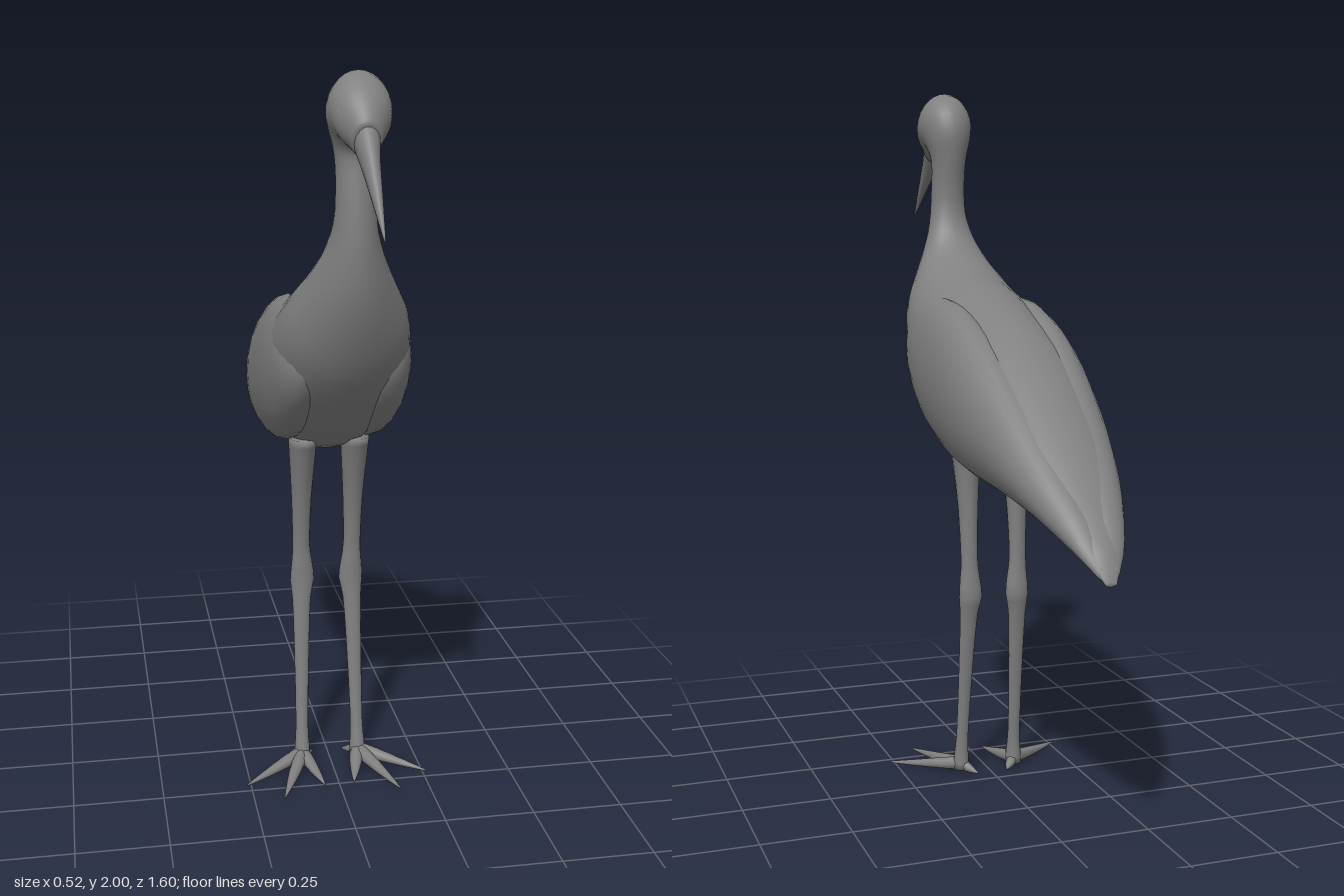
import * as THREE from 'three';

const material = new THREE.MeshStandardMaterial({ color: 0x808080, side: THREE.DoubleSide });

// Lofts elliptical rings through rows of [zTop, yTop, zBottom, yBottom, halfWidth, xCentre].
function loft(rows, sides, steps) {
  const top = new THREE.CatmullRomCurve3(rows.map((r) => new THREE.Vector3(r[4], r[1], r[0])), false, 'catmullrom');
  const bottom = new THREE.CatmullRomCurve3(rows.map((r) => new THREE.Vector3(r[5] || 0, r[3], r[2])), false, 'catmullrom');
  const count = (rows.length - 1) * steps;
  const positions = [];
  const index = [];
  const ends = [];
  for (let i = 0; i <= count; i++) {
    const a = top.getPoint(i / count);
    const b = bottom.getPoint(i / count);
    const y = (a.y + b.y) / 2;
    const z = (a.z + b.z) / 2;
    for (let j = 0; j < sides; j++) {
      const t = (j / sides) * Math.PI * 2;
      const s = Math.sin(t) / 2;
      positions.push(b.x + a.x * Math.cos(t), y + (a.y - b.y) * s, z + (a.z - b.z) * s);
    }
    if (i === 0 || i === count) ends.push([b.x, y, z]);
  }
  for (let i = 0; i < count; i++) {
    for (let j = 0; j < sides; j++) {
      const a = i * sides + j;
      const b = i * sides + ((j + 1) % sides);
      index.push(a, b, a + sides, b, b + sides, a + sides);
    }
  }
  // Close both ends with a fan
  const first = (count + 1) * sides;
  positions.push(...ends[0], ...ends[1]);
  for (let j = 0; j < sides; j++) {
    const k = (j + 1) % sides;
    index.push(first, k, j, first + 1, count * sides + j, count * sides + k);
  }
  const geometry = new THREE.BufferGeometry();
  geometry.setAttribute('position', new THREE.Float32BufferAttribute(positions, 3));
  geometry.setIndex(index);
  geometry.computeVertexNormals();
  return geometry;
}

function addMesh(parent, name, geometry) {
  const mesh = new THREE.Mesh(geometry, material);
  mesh.name = name;
  parent.add(mesh);
  return mesh;
}

// Tail, trunk, neck and head in one skin
const BODY = [
  [-0.80, 0.768, -0.80, 0.755, 0.015],
  [-0.765, 0.83, -0.77, 0.775, 0.036],
  [-0.68, 0.92, -0.70, 0.812, 0.072],
  [-0.55, 1.045, -0.58, 0.855, 0.12],
  [-0.40, 1.17, -0.42, 0.88, 0.155],
  [-0.20, 1.31, -0.22, 0.90, 0.182],
  [0, 1.40, 0, 0.93, 0.196],
  [0.12, 1.44, 0.14, 0.985, 0.197],
  [0.22, 1.468, 0.27, 1.085, 0.188],
  [0.30, 1.505, 0.38, 1.20, 0.165],
  [0.355, 1.55, 0.445, 1.31, 0.125],
  [0.388, 1.605, 0.49, 1.43, 0.085],
  [0.40, 1.67, 0.507, 1.56, 0.057],
  [0.395, 1.74, 0.503, 1.69, 0.05],
  [0.383, 1.81, 0.495, 1.785, 0.052],
  [0.375, 1.89, 0.505, 1.815, 0.066],
  [0.403, 1.96, 0.52, 1.825, 0.077],
  [0.475, 2.00, 0.53, 1.82, 0.077],
  [0.545, 1.967, 0.54, 1.815, 0.068],
  [0.59, 1.915, 0.555, 1.807, 0.048],
  [0.607, 1.88, 0.575, 1.797, 0.034],
];

const BEAK = [
  [0.575, 1.905, 0.55, 1.812, 0.034],
  [0.608, 1.875, 0.58, 1.792, 0.031],
  [0.655, 1.82, 0.625, 1.757, 0.022],
  [0.73, 1.727, 0.71, 1.70, 0.012],
  [0.80, 1.642, 0.796, 1.637, 0.002],
];

// Folded wing, blending into the back and ending in a rounded shoulder
const WING = [
  [-0.785, 0.795, -0.785, 0.77, 0.010, 0.018],
  [-0.70, 0.90, -0.73, 0.81, 0.036, 0.036],
  [-0.55, 1.03, -0.57, 0.872, 0.064, 0.066],
  [-0.35, 1.185, -0.38, 0.91, 0.085, 0.09],
  [-0.15, 1.315, -0.18, 0.93, 0.096, 0.106],
  [0.02, 1.382, 0, 0.96, 0.096, 0.111],
  [0.15, 1.40, 0.17, 1.025, 0.09, 0.114],
  [0.25, 1.40, 0.29, 1.12, 0.074, 0.114],
  [0.31, 1.37, 0.345, 1.20, 0.05, 0.111],
  [0.345, 1.32, 0.36, 1.26, 0.015, 0.105],
];

// Thigh, knee, shin and ankle, from the hip downwards (front and back edges)
const LEG = [
  [0.14, 0.99, -0.01, 0.975, 0.04, 0.074],
  [0.115, 0.93, 0.005, 0.93, 0.037, 0.074],
  [0.075, 0.80, 0.014, 0.80, 0.029, 0.074],
  [0.055, 0.66, 0.014, 0.66, 0.025, 0.074],
  [0.055, 0.60, 0.012, 0.60, 0.03, 0.072],
  [0.053, 0.55, 0.008, 0.54, 0.035, 0.071],
  [0.056, 0.49, 0.020, 0.49, 0.027, 0.074],
  [0.069, 0.35, 0.040, 0.35, 0.022, 0.077],
  [0.096, 0.12, 0.066, 0.12, 0.018, 0.081],
  [0.112, 0.05, 0.068, 0.05, 0.022, 0.082],
  [0.118, 0.01, 0.066, 0.01, 0.024, 0.082],
];

// Toe tips as [name, x, z]
const ANKLE = [0.082, 0.09];
const TOES = [
  ['outerToe', 0.26, 0.222],
  ['middleToe', 0.165, 0.31],
  ['innerToe', 0.042, 0.255],
  ['backToe', 0.045, 0.045],
];

function toeGeometry(length) {
  const r = Math.min(0.02, length * 0.28);
  return loft([
    [-0.01, 0.048, -0.01, 0.004, r * 0.9],
    [length * 0.25, 0.037, length * 0.25, 0.003, r],
    [length * 0.65, 0.021, length * 0.65, 0.002, r * 0.65],
    [length, 0.008, length, 0.002, 0.002],
  ], 8, 2);
}

// Everything that comes in pairs, built for the left
function buildSide(name) {
  const side = new THREE.Group();
  side.name = name;
  addMesh(side, 'wing', loft(WING, 24, 3));
  addMesh(side, 'leg', loft(LEG, 12, 2));
  for (const [toeName, x, z] of TOES) {
    const dx = x - ANKLE[0];
    const dz = z - ANKLE[1];
    const toe = addMesh(side, toeName, toeGeometry(Math.hypot(dx, dz)));
    toe.position.set(ANKLE[0], 0, ANKLE[1]);
    toe.rotation.y = Math.atan2(dx, dz);
  }
  const eye = addMesh(side, 'eye', new THREE.SphereGeometry(0.016, 12, 8));
  eye.position.set(0.051, 1.905, 0.54);
  return side;
}

export function createModel() {
  const bird = new THREE.Group();
  bird.name = 'wadingBird';
  addMesh(bird, 'body', loft(BODY, 28, 3));
  addMesh(bird, 'beak', loft(BEAK, 14, 3));
  bird.add(buildSide('leftSide'));
  const right = buildSide('rightSide');
  right.scale.x = -1;
  bird.add(right);
  return bird;
}
